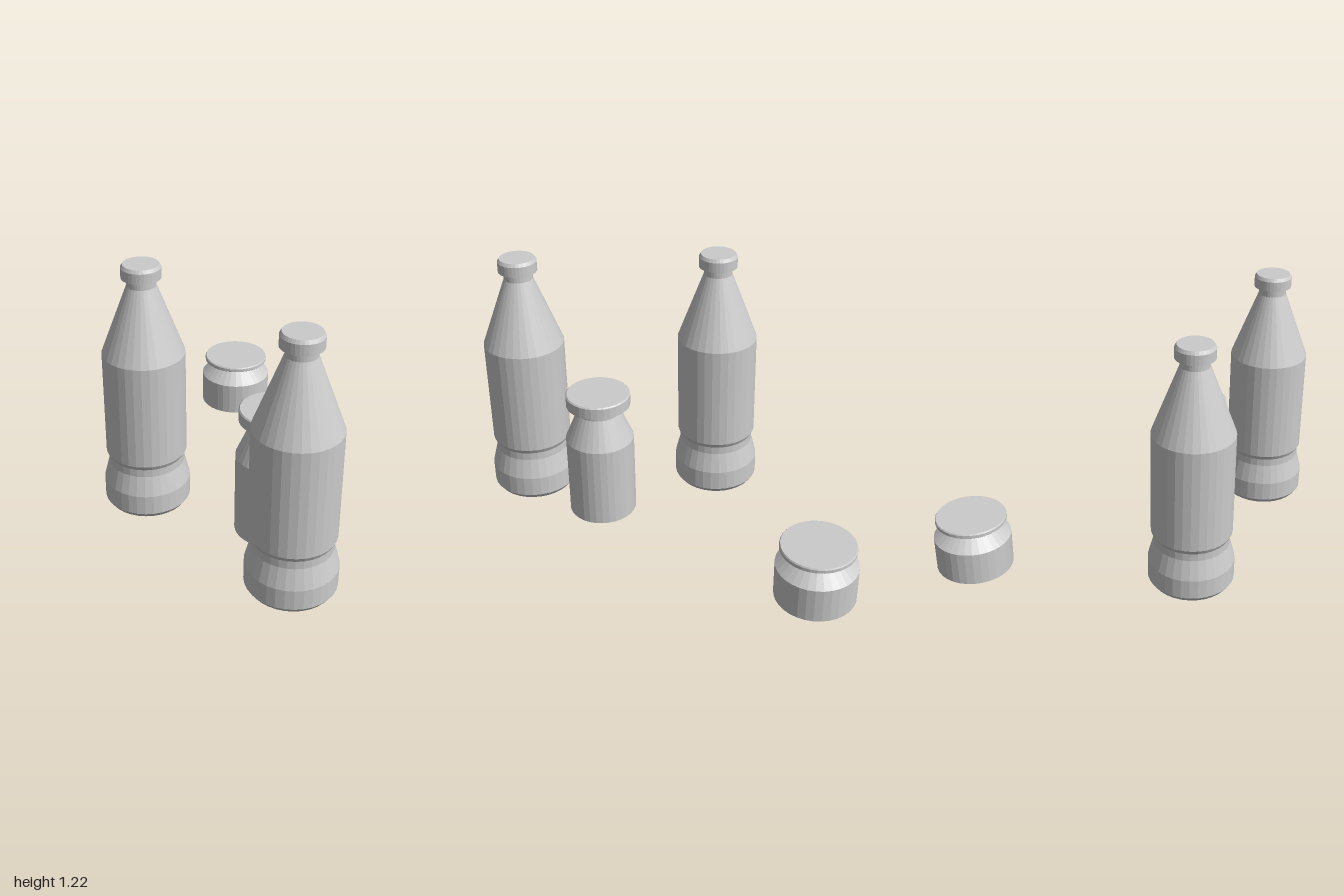
import * as THREE from 'three';

const material = new THREE.MeshStandardMaterial({ color: 0xcccccc, flatShading: true });

// Turned solid from [radius, height] pairs, closed at both ends
function turned(name, profile) {
  const points = [
    [0, profile[0][1]], ...profile, [0, profile[profile.length - 1][1]],
  ].map(([r, y]) => new THREE.Vector2(r, y));
  const mesh = new THREE.Mesh(new THREE.LatheGeometry(points, 32), material);
  mesh.name = name;
  return mesh;
}

// A container is a turned body with a turned lid
function container(name, body, lid, x, z) {
  const group = new THREE.Group();
  group.name = name;
  group.add(turned(name + 'Body', body), turned(name + 'Lid', lid));
  group.position.set(x, 0, z);
  return group;
}

// Tall bottle: chamfered foot, pinched waist, straight wall, long shoulder
const bottleBody = [
  [0.187, 0.013], [0.204, 0.037], [0.204, 0.134], [0.179, 0.23], [0.179, 0.268],
  [0.19, 0.29], [0.19, 0.795], [0.067, 1.12], [0.067, 1.16],
];
const bottleCap = [[0.09, 1.157], [0.09, 1.205], [0.081, 1.22]];

// Medium jar with a wide flat lid
const jarBody = [[0.162, 0], [0.162, 0.4], [0.102, 0.54], [0.102, 0.585]];
const jarLid = [[0.151, 0.58], [0.151, 0.632], [0.146, 0.638]];

// Short pot with a thin lid
const potBody = [[0.183, 0.019], [0.183, 0.183], [0.115, 0.245], [0.115, 0.267]];
const potLid = [[0.163, 0.263], [0.168, 0.267], [0.168, 0.282], [0.164, 0.288]];

export function createModel() {
  const model = new THREE.Group();
  model.name = 'bottlesAndJars';
  model.add(
    container('rightBottle', bottleBody, bottleCap, -0.299, 0.027),
    container('leftBottle', bottleBody, bottleCap, 0.213, 0.796),
    container('jar', jarBody, jarLid, 0.222, 0.372),
    container('pot', potBody, potLid, 0.317, -0.817),
  );
  return model;
}
